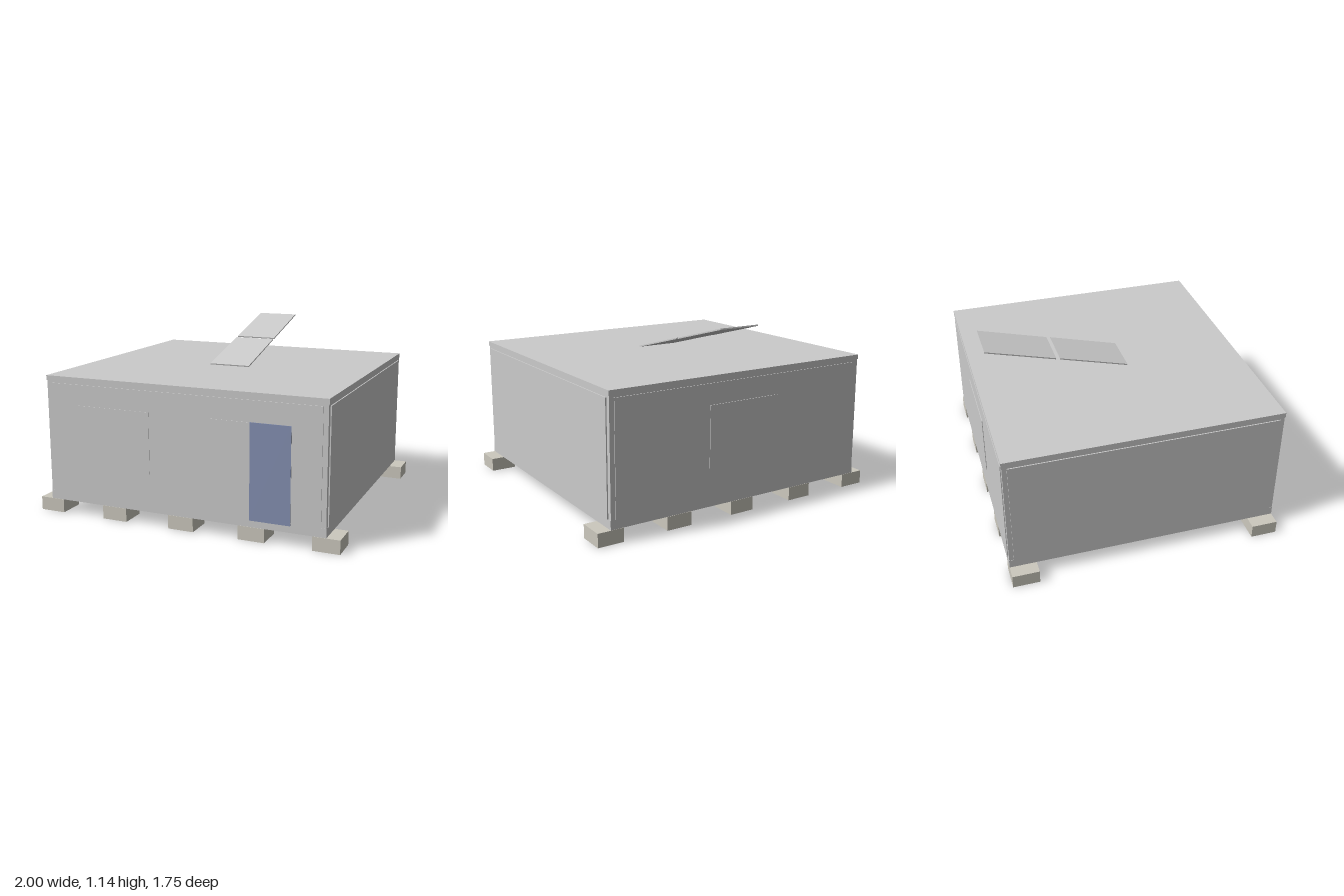
import * as THREE from 'three';

const grey = new THREE.MeshStandardMaterial({ color: 0xcccccc });
const concrete = new THREE.MeshStandardMaterial({ color: 0xccc9be });
const floorMat = new THREE.MeshStandardMaterial({ color: 0xbeb59f });
const doorMat = new THREE.MeshStandardMaterial({ color: 0x8490b2 });

// Box given by its limits on each axis
function box(parent, name, [x0, x1], [y0, y1], [z0, z1], material = grey) {
  const mesh = new THREE.Mesh(new THREE.BoxGeometry(x1 - x0, y1 - y0, z1 - z0), material);
  mesh.position.set((x0 + x1) / 2, (y0 + y1) / 2, (z0 + z1) / 2);
  mesh.name = name;
  parent.add(mesh);
  return mesh;
}

// Mirrors a range to the negative side when s is -1
const side = (s, a, b) => (s > 0 ? [a, b] : [-b, -a]);

export function createModel() {
  const cabin = new THREE.Group();
  cabin.name = 'cabin';

  // Foundation blocks in two rows
  for (const s of [-1, 1]) {
    for (let i = -2; i <= 2; i++) {
      const x = i * 0.4583;
      box(cabin, 'foundationBlock', [x - 0.083, x + 0.083], [0, 0.086], side(s, 0.697, 0.865), concrete);
    }
  }

  // Two floor slabs meeting at a narrow seam
  for (const s of [-1, 1]) {
    box(cabin, 'floorSlab', side(s, 0.002, 0.895), [0.088, 0.13], [-0.845, 0.845], floorMat);
  }

  // Base rails, corner posts, top rails and wall panels
  for (const s of [-1, 1]) {
    box(cabin, 'baseRailLong', [-0.917, 0.917], [0.087, 0.143], side(s, 0.835, 0.865));
    box(cabin, 'baseRailSide', side(s, 0.885, 0.917), [0.087, 0.143], [-0.835, 0.835]);
    box(cabin, 'topRailLong', [-0.915, 0.915], [0.845, 0.862], side(s, 0.835, 0.864));
    box(cabin, 'topRailSide', side(s, 0.885, 0.915), [0.845, 0.862], [-0.835, 0.835]);
    for (const t of [-1, 1]) {
      box(cabin, 'cornerPost', side(s, 0.885, 0.915), [0.143, 0.845], side(t, 0.835, 0.864));
    }
    box(cabin, 'wallPanelLong', [-0.885, 0.885], [0.143, 0.845], side(s, 0.845, 0.869));
    box(cabin, 'wallPanelSide', side(s, 0.895, 0.922), [0.143, 0.845], [-0.835, 0.835]);
  }

  // Flat roof
  box(cabin, 'roof', [-0.919, 0.919], [0.86, 0.89], [-0.868, 0.868]);

  // Thin windows and the door
  for (const s of [-1, 1]) {
    box(cabin, 'frontWindow', side(s, 0.2, 0.705), [0.33, 0.715], [0.85, 0.872]);
  }
  box(cabin, 'backWindow', [-0.25, 0.25], [0.33, 0.715], [-0.873, -0.85]);
  box(cabin, 'door', [0.452, 0.703], [0.13, 0.717], [0.85, 0.874], doorMat);

  // Two tilted roof panels in line
  for (const [y, z] of [[0.956, -0.109], [1.081, -0.581]]) {
    const panel = box(cabin, 'tiltedRoofPanel', [-0.138, 0.138], [-0.004, 0.004], [-0.232, 0.232]);
    panel.position.set(0, y, z);
    panel.rotation.x = THREE.MathUtils.degToRad(15);
  }

  return cabin;
}
